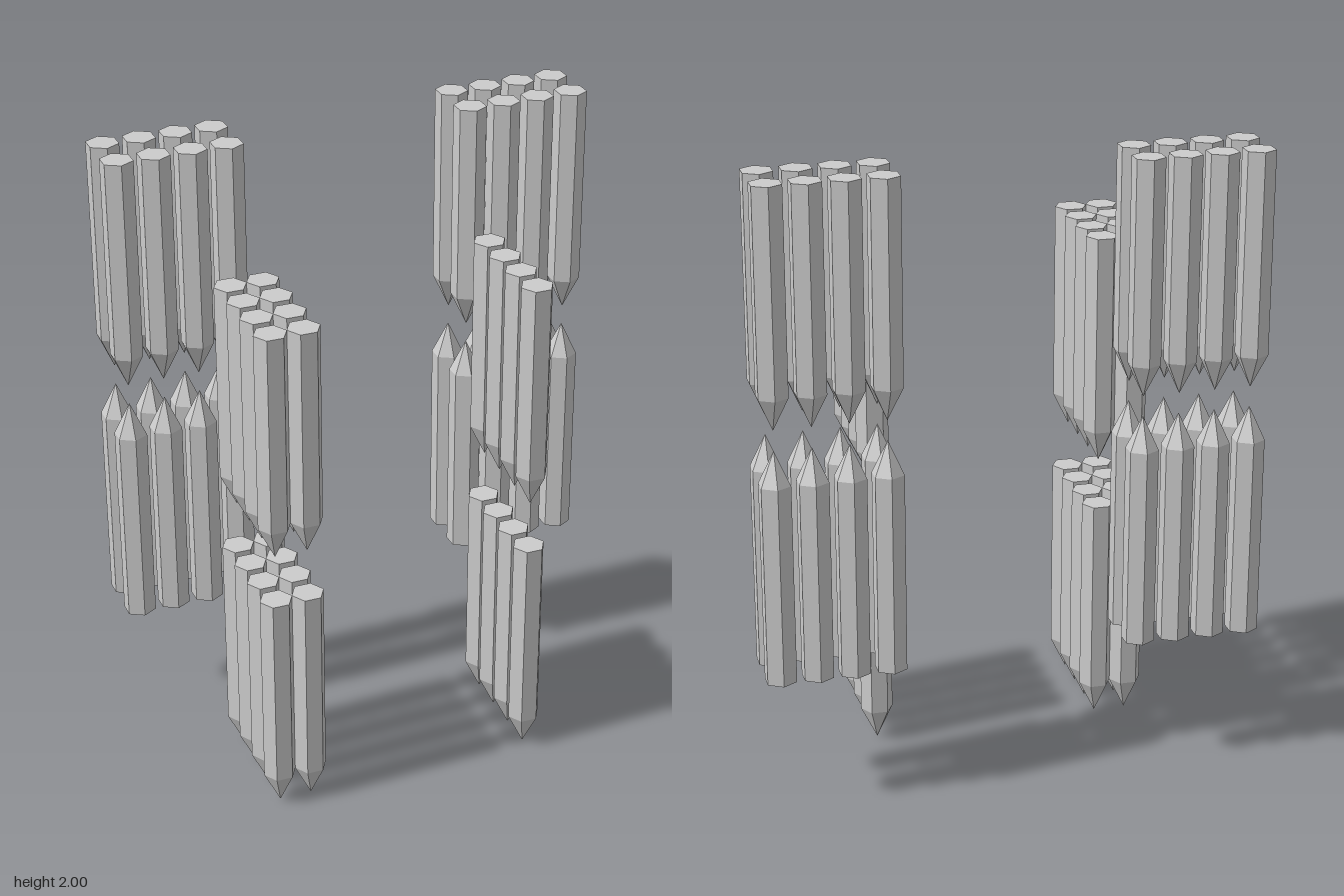
import * as THREE from 'three';

const RADIUS = 0.052, SHAFT = 0.643, LENGTH = 0.75;
const PITCH = 0.1145; // spacing along the long rows

export function createModel() {
  const model = new THREE.Group();
  const material = new THREE.MeshStandardMaterial({ color: 0xcccccc, flatShading: true });

  // Six-sided rod: flat base at y = 0, point at y = LENGTH, corners on the z axis
  const rod = new THREE.LatheGeometry([
    new THREE.Vector2(0, 0),
    new THREE.Vector2(RADIUS, 0),
    new THREE.Vector2(RADIUS, SHAFT),
    new THREE.Vector2(0, LENGTH),
  ], 6);
  const rodUp = rod;
  const rodDown = rod.clone().rotateX(Math.PI);
  const rodDownTurned = rodDown.clone().rotateY(Math.PI / 6); // corners on the x axis

  // A cluster of rods on a grid; baseY is the height of the flat ends
  function addCluster(name, geometry, baseY, xs, zs) {
    const cluster = new THREE.Group();
    cluster.name = name;
    for (const x of xs) {
      for (const z of zs) {
        const mesh = new THREE.Mesh(geometry, material);
        mesh.name = 'pointedRod';
        mesh.position.set(x, baseY, z);
        cluster.add(mesh);
      }
    }
    model.add(cluster);
  }

  const row = (start) => [0, 1, 2, 3].map((i) => start + i * PITCH);

  // Rear jaws: hanging rods above, standing rods below, points facing
  const rearZ = [-0.359, -0.216];
  for (const [side, start] of [['Right', -0.743], ['Left', 0.396]]) {
    addCluster('rearUpper' + side, rodDown, 2.0, row(start), rearZ);
    addCluster('rearLower' + side, rodUp, 0.437, row(start), rearZ);
  }

  // Front clusters: two tiers, all pointing down
  const frontZ = row(0.022);
  for (const [side, xs] of [['Right', [-0.482, -0.379]], ['Left', [0.362]]]) {
    addCluster('frontUpper' + side, rodDownTurned, 1.65, xs, frontZ);
    addCluster('frontLower' + side, rodDownTurned, 0.75, xs, frontZ);
  }

  return model;
}
